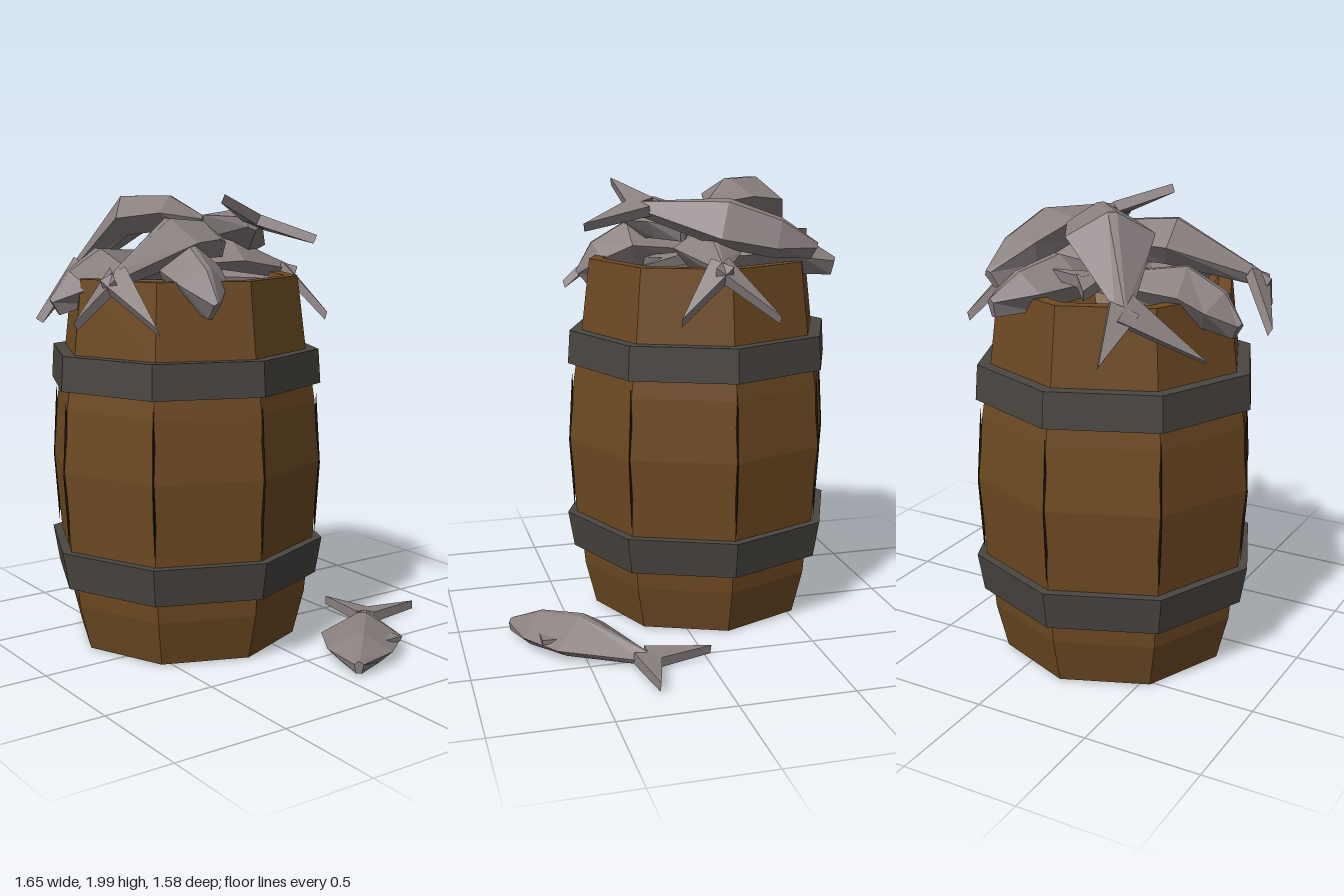
import * as THREE from 'three';
import { ConvexGeometry } from 'three/addons/geometries/ConvexGeometry.js';

const mat = (color) => new THREE.MeshStandardMaterial({ color, flatShading: true, side: THREE.DoubleSide });
const wood = mat(0x6e4a22), iron = mat(0x4a4641), skin = mat(0x8a8080), dark = mat(0x1c1208);
const V = (x, y, z) => new THREE.Vector3(x, y, z);

function add(parent, name, geometry, material) {
  const mesh = new THREE.Mesh(geometry, material);
  mesh.name = name;
  parent.add(mesh);
  return mesh;
}

// Eight-sided shell from [radius, height] pairs
const octagon = (profile) =>
  new THREE.LatheGeometry(profile.map(([r, y]) => new THREE.Vector2(r, y)), 8);

// Snout, gills, belly and tail root: place on the spine, half width, ridge height, belly depth
const stations = [[0, 0.02, 0.015, 0.04], [0.2, 0.14, 0.075, 0.05], [0.48, 0.18, 0.1, 0.05], [1, 0.035, 0.025, 0.025]];

// Fish bent along snout - arch - root, with a forked tail centred on fork
function fish(parent, name, snout, arch, root, fork, { width = 0.9, depth = 1.6, tilt = 0 } = {}) {
  const group = new THREE.Group();
  group.name = name;
  parent.add(group);
  const spine = new THREE.QuadraticBezierCurve3(snout, arch, root);
  const pos = [], idx = [], n = 6;
  let side, up;
  for (const [at, w, h, d] of stations) {
    const p = spine.getPoint(at), t = spine.getTangent(at);
    side = t.clone().cross(V(tilt, 1, 0)).normalize();
    up = side.clone().cross(t);
    const ring = [[w, 0], [0.1 * w, h], [-0.1 * w, h], [-w, 0], [-0.6 * w, -d * depth], [0.6 * w, -d * depth]];
    for (const [a, b] of ring)
      pos.push(...p.clone().addScaledVector(side, a * width).addScaledVector(up, b).toArray());
  }
  for (let i = 0; i < 3; i++)
    for (let j = 0; j < n; j++) {
      const a = i * n + j, b = i * n + (j + 1) % n;
      idx.push(a, a + n, b, b, a + n, b + n);
    }
  for (let j = 1; j < n - 1; j++) idx.push(0, j, j + 1, 3 * n, 3 * n + j + 1, 3 * n + j);
  const body = new THREE.BufferGeometry();
  body.setAttribute('position', new THREE.Float32BufferAttribute(pos, 3));
  body.setIndex(idx);
  body.computeVertexNormals();
  add(group, 'body', body, skin);

  // Two thin wedges spread to either side of the fork
  for (const s of [-1, 1]) {
    const tip = fork.clone().addScaledVector(side, 0.21 * s);
    const dir = tip.clone().sub(root).normalize();
    const across = dir.clone().cross(up).normalize();
    const corners = [];
    for (const k of [-0.024, 0.024]) {
      for (const e of [-0.06, 0.06])
        corners.push(root.clone().addScaledVector(across, e).addScaledVector(up, k));
      corners.push(tip.clone().addScaledVector(up, k * 0.8));
    }
    add(group, 'tailFin', new ConvexGeometry(corners), skin);
  }
}

export function createModel() {
  const model = new THREE.Group();
  model.name = 'fishBarrel';

  const barrel = new THREE.Group();
  barrel.name = 'barrel';
  barrel.position.set(-0.19, 0, -0.17);
  model.add(barrel);

  // Open-ended wood sections, with gaps hidden behind the hoops
  add(barrel, 'lowerStaves', octagon([[0.5, 0], [0.55, 0.2], [0.56, 0.31]]), wood);
  add(barrel, 'middleStaves', octagon([[0.585, 0.44], [0.613, 0.81], [0.59, 1.08], [0.575, 1.18]]), wood);
  add(barrel, 'upperStaves', octagon([[0.55, 1.3], [0.51, 1.63], [0.45, 1.63], [0.34, 1.45], [0.001, 1.45]]), wood);

  // Hoops with a flat upper lip
  add(barrel, 'lowerHoop', octagon([[0.6, 0.29], [0.628, 0.455], [0.57, 0.455]]), iron);
  add(barrel, 'upperHoop', octagon([[0.615, 1.16], [0.605, 1.31], [0.535, 1.31]]), iron);

  // Dark splits along the stave seams
  for (let i = 0; i < 8; i++) {
    const a = i * Math.PI / 4;
    const split = add(barrel, 'seam', new THREE.OctahedronGeometry(1), dark);
    split.scale.set(0.012, 0.32, 0.02);
    split.position.set(Math.sin(a) * 0.597, 0.8, Math.cos(a) * 0.597);
    split.rotation.y = a;
  }

  // Fish heaped on the barrel
  fish(model, 'topBackFish', V(-0.08, 1.87, -0.18), V(-0.345, 1.985, -0.49), V(-0.47, 1.64, -0.64), V(-0.58, 1.43, -0.62), { width: 1 });
  fish(model, 'topRightFish', V(0.17, 1.7, -0.6), V(0.125, 1.855, -0.13), V(-0.02, 1.87, 0.14), V(-0.08, 1.88, 0.32), { tilt: 0.5 });
  fish(model, 'topFrontFish', V(-0.05, 1.77, -0.06), V(-0.38, 1.85, -0.02), V(-0.7, 1.65, 0.11), V(-0.735, 1.45, 0.18));
  fish(model, 'rightFish', V(-0.25, 1.66, -0.2), V(0.06, 1.73, -0.14), V(0.33, 1.64, -0.12), V(0.44, 1.43, -0.13));
  fish(model, 'backFish', V(0.08, 1.62, -0.72), V(-0.04, 1.71, -0.36), V(-0.12, 1.62, -0.05), V(-0.09, 1.6, 0.15));
  fish(model, 'leftFish', V(-0.79, 1.53, -0.27), V(-0.52, 1.7, -0.2), V(-0.25, 1.7, -0.5), V(-0.2, 1.7, -0.61));
  fish(model, 'frontFish', V(-0.37, 1.54, 0.36), V(-0.36, 1.77, 0.1), V(-0.28, 1.65, -0.15), V(-0.28, 1.62, -0.3), { width: 0.8, depth: 2 });

  // Fish lying on the ground, with a small side fin
  fish(model, 'groundFish', V(0.06, 0.05, 0.77), V(0.33, 0.065, 0.47), V(0.54, 0.025, 0.26), V(0.675, 0.025, 0.125), { width: 1, depth: 1 });
  const fin = add(model, 'sideFin', new THREE.BoxGeometry(0.11, 0.02, 0.06), skin);
  fin.position.set(0.32, 0.07, 0.65);
  return model;
}
